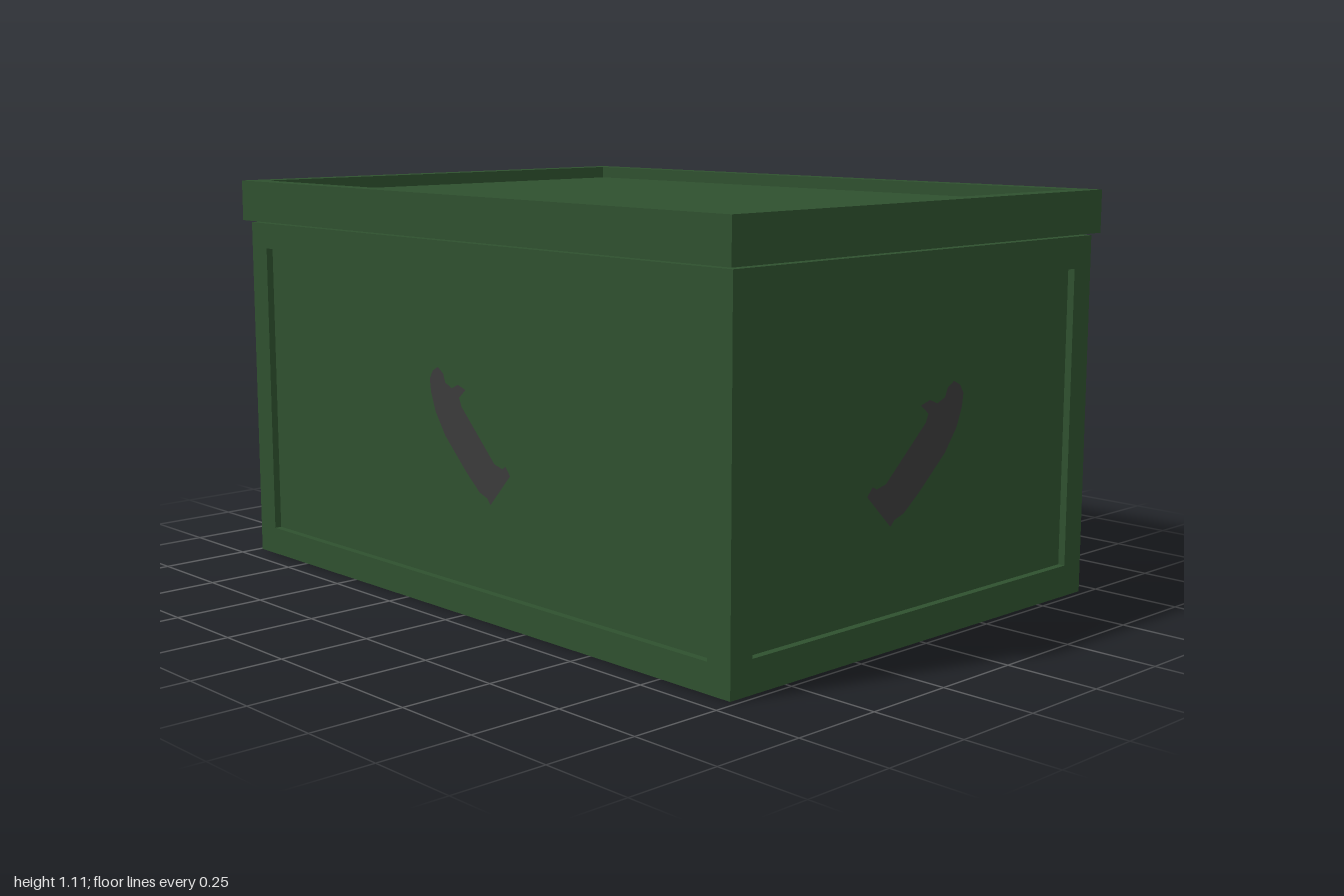
import * as THREE from 'three';

const green = new THREE.MeshStandardMaterial({ color: 0x2f512f });
green.name = 'dark green paint';
const grey = new THREE.MeshStandardMaterial({ color: 0x3b3b3b });
grey.name = 'grey stencil paint';

const DEPTH = 0.02; // recess of the side panels
const BASE = 0.002, BODY_TOP = 0.988, LID_BOTTOM = 0.994, LID_TOP = 1.11;
const HX = 0.69, HZ = 0.985;

function rectPoints(x0, y0, x1, y1) {
  return [[x0, y0], [x1, y0], [x1, y1], [x0, y1]].map(p => new THREE.Vector2(...p));
}

// flat rectangular frame with a rectangular opening, extruded along +z
function frameGeometry(outer, inner, depth) {
  const shape = new THREE.Shape(rectPoints(...outer));
  shape.holes.push(new THREE.Path(rectPoints(...inner).reverse()));
  return new THREE.ExtrudeGeometry(shape, { depth, bevelEnabled: false });
}

// stencilled silhouette, centred on the panel
const outline = [
  [-0.2, 0.4], [-0.11, 0.312], [-0.095, 0.327], [-0.06, 0.338], [0, 0.383], [0.1, 0.47],
  [0.145, 0.53], [0.165, 0.58], [0.17, 0.615], [0.155, 0.638], [0.13, 0.65],
  [0.105, 0.635], [0.095, 0.612], [0.065, 0.6], [0.035, 0.612], [0, 0.602],
  [0.03, 0.578], [0.02, 0.556], [-0.13, 0.422], [-0.165, 0.414], [-0.18, 0.422],
];
function markGeometry(su, sv) {
  return new THREE.ShapeGeometry(new THREE.Shape(
    outline.map(([u, v]) => new THREE.Vector2(u * su, (v - 0.49) * sv))));
}

function add(parent, name, geometry, material) {
  const mesh = new THREE.Mesh(geometry, material);
  mesh.name = name;
  parent.add(mesh);
  return mesh;
}

export function createModel() {
  const model = new THREE.Group();
  model.name = 'crate';

  // body core, whose faces are the recessed panels
  const h = BODY_TOP - BASE;
  add(model, 'bodyCore', new THREE.BoxGeometry(2 * (HX - DEPTH), h, 2 * (HZ - DEPTH)), green)
    .position.y = BASE + h / 2;

  // raised frames and stencils on the four sides; far sides carry the mirrored stencil
  const sides = [
    ['front', 0, HZ, HX, [-0.617, 0.088, 0.617, 0.902], 1],
    ['left', Math.PI / 2, HX, HZ - DEPTH, [-0.91, 0.08, 0.91, 0.915], 0.9],
    ['back', Math.PI, HZ, HX, [-0.617, 0.088, 0.617, 0.902], -1],
    ['right', -Math.PI / 2, HX, HZ - DEPTH, [-0.91, 0.08, 0.91, 0.915], -0.9],
  ];
  for (const [name, turn, distance, half, opening, su] of sides) {
    const side = new THREE.Group();
    side.name = name + 'Side';
    side.rotation.y = turn;
    model.add(side);
    add(side, name + 'Frame', frameGeometry([-half, BASE, half, BODY_TOP], opening, DEPTH), green)
      .position.z = distance - DEPTH;
    add(side, name + 'Stencil', markGeometry(su, 1), grey)
      .position.set(0, 0.49, distance - DEPTH + 0.002);
  }

  // stencil under the floor, stretched along the length
  add(model, 'floorStencil', markGeometry(1, -1.95).rotateX(Math.PI / 2), grey);

  // lid: slab with a raised rim
  const rim = 0.035, slab = LID_TOP - rim - LID_BOTTOM;
  const lid = new THREE.Group();
  lid.name = 'lid';
  model.add(lid);
  add(lid, 'lidSlab', new THREE.BoxGeometry(1.42, slab, 2), green)
    .position.y = LID_BOTTOM + slab / 2;
  add(lid, 'lidRim',
    frameGeometry([-0.71, -1, 0.71, 1], [-0.658, -0.942, 0.658, 0.942], rim).rotateX(-Math.PI / 2), green)
    .position.y = LID_TOP - rim;

  return model;
}
